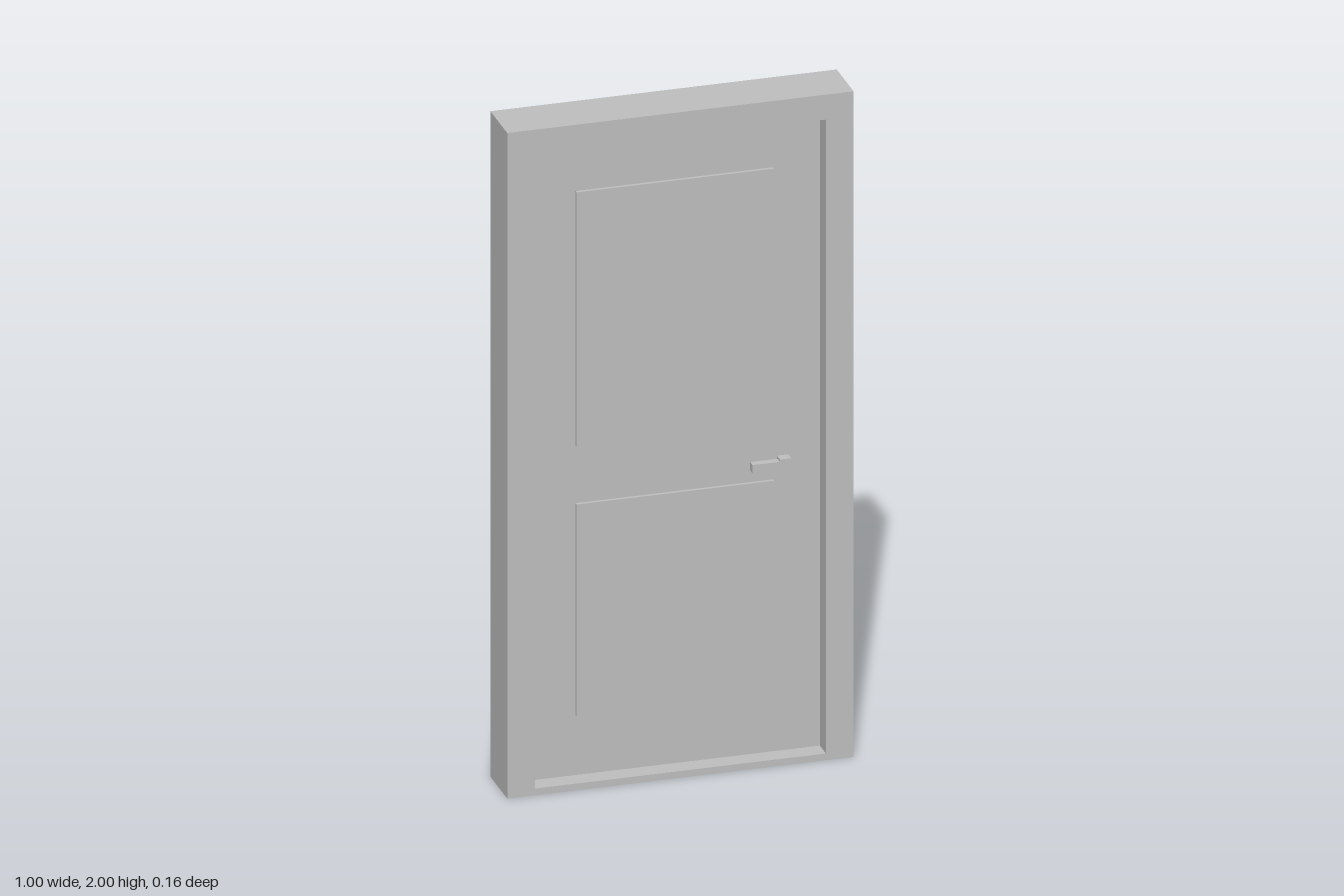
import * as THREE from 'three';

export function createModel() {
  const door = new THREE.Group();
  door.name = 'door';
  const grey = new THREE.MeshStandardMaterial({ color: 0xbfbfbf });
  grey.name = 'plain grey';

  // Box given by its extents on each axis
  function box(name, [x0, x1], [y0, y1], [z0, z1]) {
    const mesh = new THREE.Mesh(new THREE.BoxGeometry(x1 - x0, y1 - y0, z1 - z0), grey);
    mesh.position.set((x0 + x1) / 2, (y0 + y1) / 2, (z0 + z1) / 2);
    mesh.name = name;
    door.add(mesh);
  }
  const rect = (Type, x, y0, y1) => new Type([
    new THREE.Vector2(-x, y0), new THREE.Vector2(x, y0),
    new THREE.Vector2(x, y1), new THREE.Vector2(-x, y1),
  ]);

  // Surrounding frame with a low sill
  const outline = rect(THREE.Shape, 0.5, 0, 2);
  outline.holes.push(rect(THREE.Path, 0.42, 0.02, 1.925));
  const frameGeometry = new THREE.ExtrudeGeometry(outline, { depth: 0.16, bevelEnabled: false });
  frameGeometry.translate(0, 0, -0.08);
  const frame = new THREE.Mesh(frameGeometry, grey);
  frame.name = 'frame';
  door.add(frame);

  // Door leaf, set back equally on both sides
  const face = 0.022;
  box('leaf', [-0.42, 0.42], [0.02, 1.925], [-face, face]);

  // Raised panels and handle base on both faces
  for (const [label, side] of [['front', 1], ['back', -1]]) {
    const out = (depth) => [face * side, (face + depth) * side].sort((a, b) => a - b);
    box(label + 'UpperPanel', [-0.285, 0.285], [1.01, 1.775], out(0.01));
    box(label + 'LowerPanel', [-0.285, 0.285], [0.2, 0.837], out(0.01));
    box(label + 'Knob', [0.296, 0.329], [0.875, 0.907], out(0.029));
  }

  // Lever on the front only
  box('lever', [0.217, 0.298], [0.875, 0.9], [0.028, 0.051]);

  return door;
}
